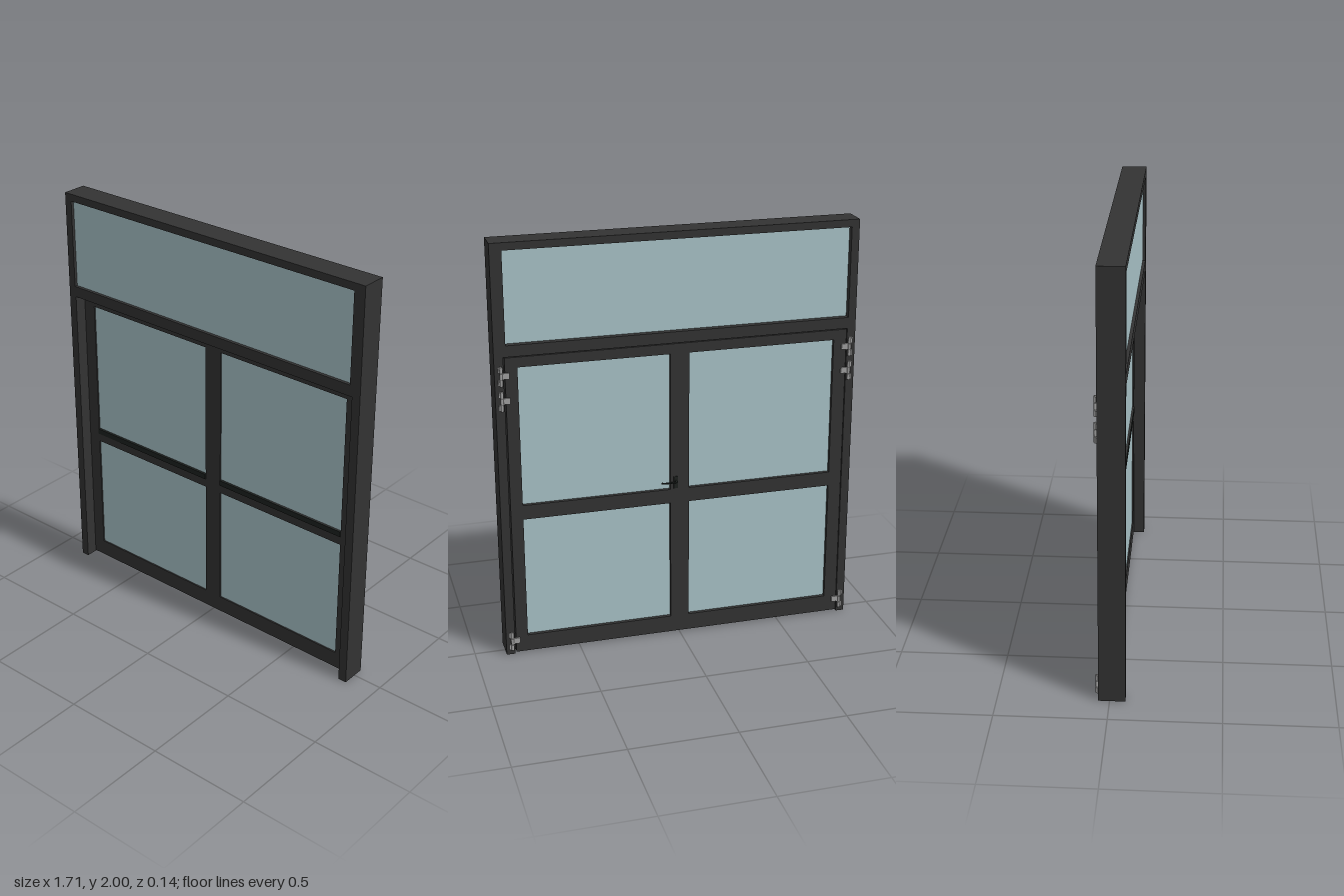
import * as THREE from 'three';

const mat = (color) => new THREE.MeshStandardMaterial({ color });
const frameMat = mat(0x333333);
const darkMat = mat(0x1d211f);
const glassMat = mat(0xa9c3c8);
const metalMat = mat(0xa0a0a0);

// Box given by its min and max on each axis
function box(parent, name, material, [x0, x1], [y0, y1], [z0, z1]) {
  const mesh = new THREE.Mesh(new THREE.BoxGeometry(x1 - x0, y1 - y0, z1 - z0), material);
  mesh.position.set((x0 + x1) / 2, (y0 + y1) / 2, (z0 + z1) / 2);
  mesh.name = name;
  parent.add(mesh);
  return mesh;
}

const rect = (Type, [x0, x1], [y0, y1]) => new Type([
  new THREE.Vector2(x0, y0), new THREE.Vector2(x1, y0),
  new THREE.Vector2(x1, y1), new THREE.Vector2(x0, y1),
]);

// Flat frame with rectangular openings, extruded from z0 to z1
function pierced(parent, name, xs, ys, holes, [z0, z1]) {
  const shape = rect(THREE.Shape, xs, ys);
  holes.forEach(([hx, hy]) => shape.holes.push(rect(THREE.Path, hx, hy)));
  const geometry = new THREE.ExtrudeGeometry(shape, { depth: z1 - z0, bevelEnabled: false });
  geometry.translate(0, 0, z0);
  const mesh = new THREE.Mesh(geometry, frameMat);
  mesh.name = name;
  parent.add(mesh);
}

// Hinge: pin with three knuckles and two small wing plates
function hinge(side, y) {
  const g = new THREE.Group();
  g.name = 'hinge';
  [-0.031, 0, 0.031].forEach((dy) => {
    const knuckle = new THREE.Mesh(new THREE.CylinderGeometry(0.007, 0.007, 0.029, 12), metalMat);
    knuckle.position.set(0, dy, -0.007);
    knuckle.name = 'hingeKnuckle';
    g.add(knuckle);
  });
  const pin = new THREE.Mesh(new THREE.CylinderGeometry(0.004, 0.004, 0.094, 10), metalMat);
  pin.position.z = -0.007;
  pin.name = 'hingePin';
  g.add(pin);
  box(g, 'doorWing', metalMat, [-side * 0.038, 0].sort((a, b) => a - b), [-0.014, 0.014], [-0.006, 0.002]);
  [-0.031, 0.031].forEach((dy) => box(g, 'postWing', metalMat,
    [0, side * 0.013].sort((a, b) => a - b), [dy - 0.013, dy + 0.013], [-0.006, 0.002]));
  g.position.set(side * 0.826, y, -0.05);
  return g;
}

export function createModel() {
  const model = new THREE.Group();
  model.name = 'glazedDoubleDoor';

  // Outer frame: posts, head and transom bar, with the fanlight opening
  const outer = new THREE.Shape([
    [-0.855, 0], [-0.815, 0], [-0.815, 1.482], [0.813, 1.482],
    [0.813, 0], [0.855, 0], [0.855, 2], [-0.855, 2],
  ].map(([x, y]) => new THREE.Vector2(x, y)));
  outer.holes.push(rect(THREE.Path, [-0.818, 0.8], [1.535, 1.965]));
  const outerGeometry = new THREE.ExtrudeGeometry(outer, { depth: 0.12, bevelEnabled: false });
  outerGeometry.translate(0, 0, -0.05);
  const outerFrame = new THREE.Mesh(outerGeometry, frameMat);
  outerFrame.name = 'outerFrame';
  model.add(outerFrame);
  box(model, 'fanlightGlass', glassMat, [-0.818, 0.8], [1.535, 1.965], [-0.02, 0.055]);

  // Two recessed leaves, each with an upper and a lower pane
  const leafZ = [-0.048, 0.015];
  [[-0.812, 0, -0.75, -0.045], [0, 0.807, 0.045, 0.75]].forEach(([x0, x1, p0, p1], i) => {
    const leaf = new THREE.Group();
    leaf.name = i ? 'leftLeaf' : 'rightLeaf';
    const panes = [[0.09, 0.69], [0.76, 1.43]];
    pierced(leaf, 'leafFrame', [x0, x1], [0.008, 1.478], panes.map((py) => [[p0, p1], py]), leafZ);
    panes.forEach((py) => box(leaf, 'pane', glassMat, [p0, p1], py, [-0.03, 0.008]));
    // Dark bead along the top of the middle rail
    box(leaf, 'railBead', darkMat, [p0, p1], [0.733, 0.76], [0.008, 0.02]);
    model.add(leaf);
  });

  // Hinges on the back of both posts
  [-1, 1].forEach((side) => [0.07, 1.277, 1.395].forEach((y) => model.add(hinge(side, y))));

  // Lever handle on the back of the meeting stile
  const handle = new THREE.Group();
  handle.name = 'handle';
  box(handle, 'handlePlate', darkMat, [0.01, 0.03], [0.765, 0.825], [-0.051, -0.047]);
  const path = new THREE.CatmullRomCurve3([
    [0.02, -0.048], [0.02, -0.062], [0.026, -0.068], [0.04, -0.069], [0.08, -0.069], [0.09, -0.064],
  ].map(([x, z]) => new THREE.Vector3(x, 0.802, z)));
  const lever = new THREE.Mesh(new THREE.TubeGeometry(path, 32, 0.0045, 8), darkMat);
  lever.name = 'lever';
  handle.add(lever);
  const tip = new THREE.Mesh(new THREE.SphereGeometry(0.0045, 8, 6), darkMat);
  tip.position.set(0.09, 0.802, -0.064);
  tip.name = 'leverTip';
  handle.add(tip);
  model.add(handle);

  return model;
}
